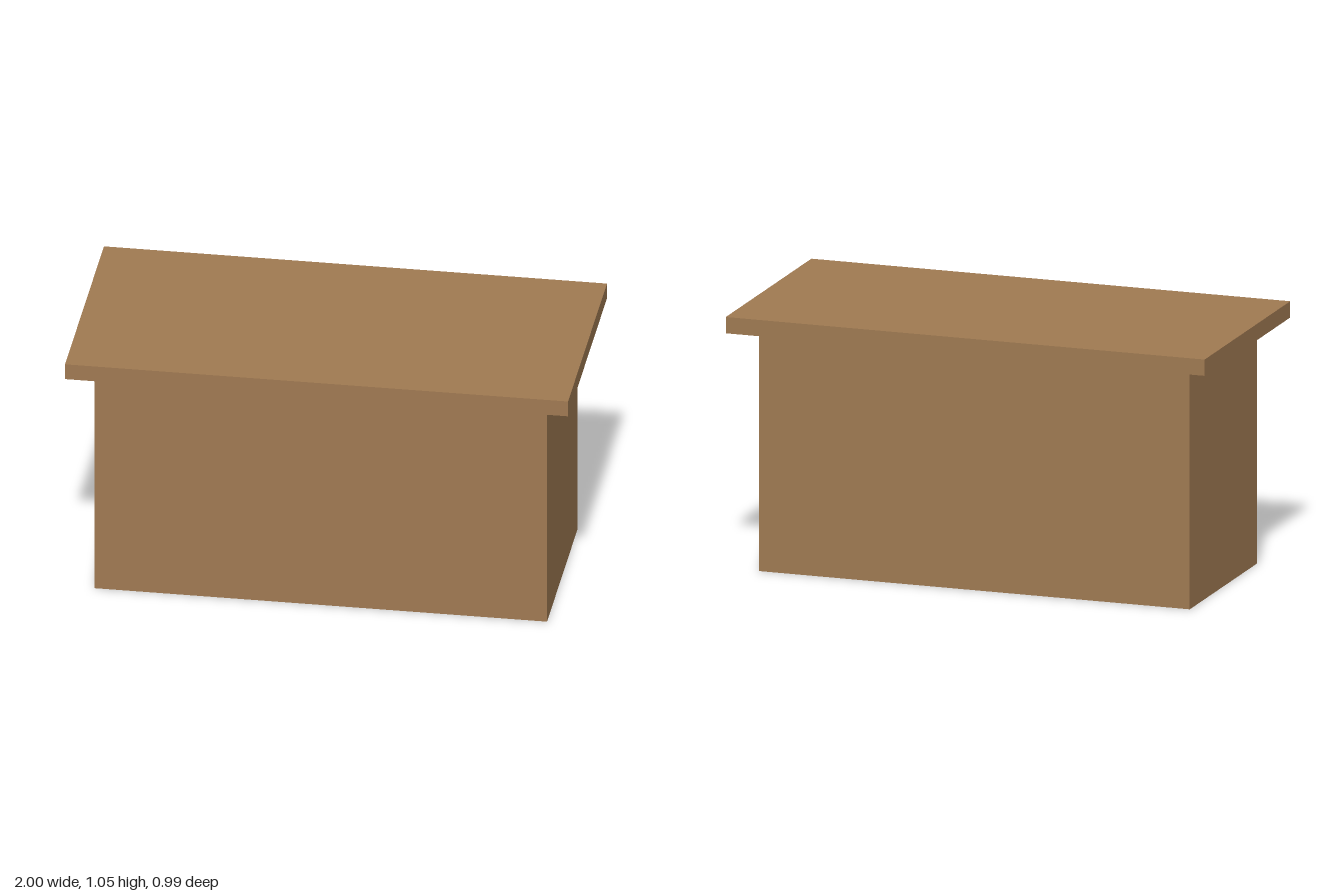
import * as THREE from 'three';

export function createModel() {
  const model = new THREE.Group();
  const wood = new THREE.MeshStandardMaterial({ color: 0xa07a52, side: THREE.DoubleSide });
  wood.name = 'brown wood';

  const halfX = 0.9, halfZ = 0.39, height = 0.98;
  const lidHeight = 0.066;

  // Overhanging lid
  const lid = new THREE.Mesh(new THREE.BoxGeometry(2, lidHeight, 0.99), wood);
  lid.name = 'lid';
  lid.position.y = height + lidHeight / 2;
  model.add(lid);

  // Four thin walls, open underneath
  const body = new THREE.Group();
  body.name = 'body';
  ['frontWall', 'leftWall', 'backWall', 'rightWall'].forEach((name, i) => {
    const isEnd = i % 2 === 1;
    const geometry = new THREE.PlaneGeometry(2 * (isEnd ? halfZ : halfX), height);
    geometry.translate(0, height / 2, isEnd ? halfX : halfZ);
    const wall = new THREE.Mesh(geometry, wood);
    wall.name = name;
    wall.rotation.y = i * Math.PI / 2;
    body.add(wall);
  });
  model.add(body);

  return model;
}
